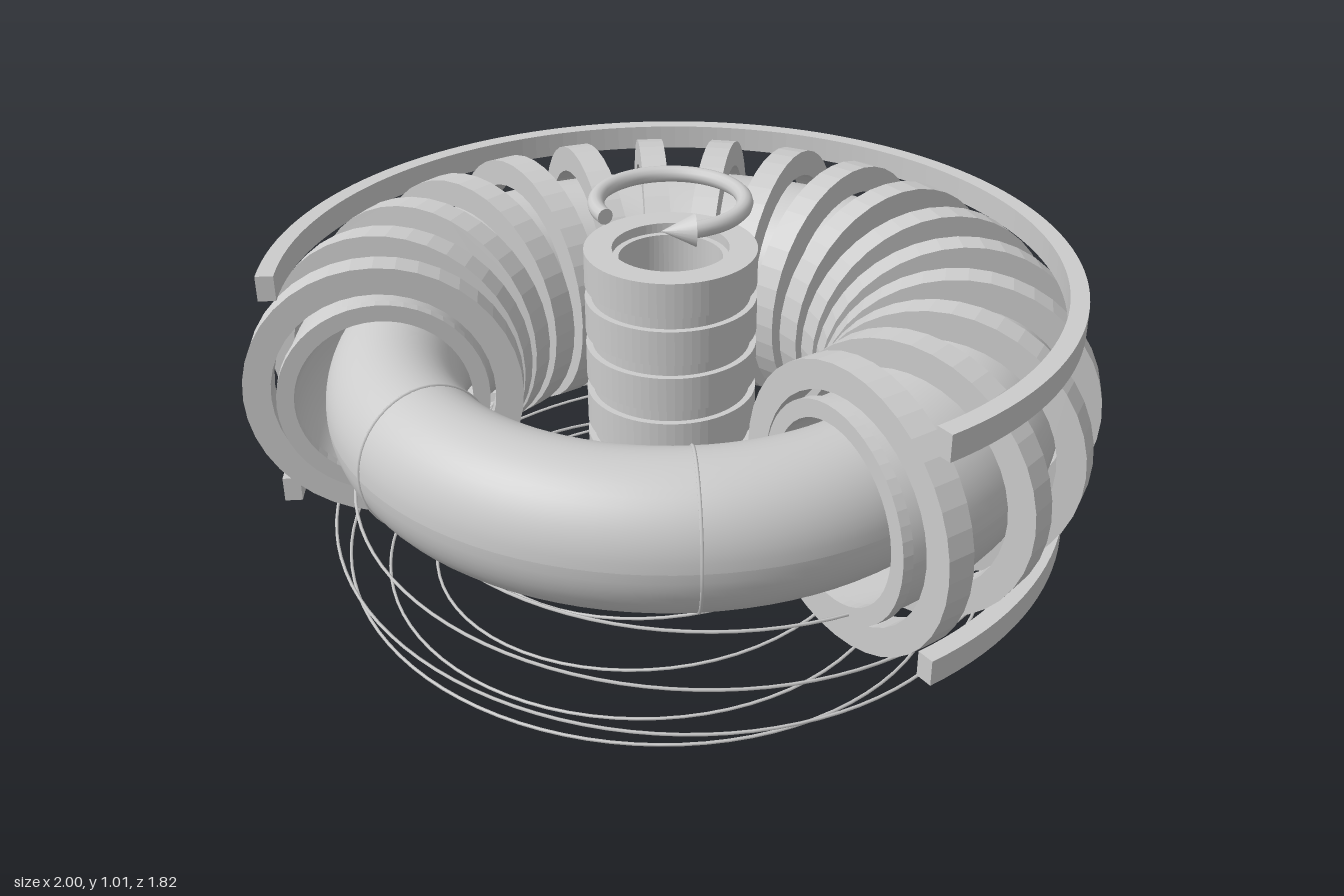
import * as THREE from 'three';

const GREY = new THREE.MeshStandardMaterial({ color: 0xcccccc });
const SHELL = new THREE.MeshStandardMaterial({ color: 0xcccccc, side: THREE.DoubleSide });
const DEG = Math.PI / 180;
const MID_Y = 0.522;      // height of the torus midplane
const VESSEL_R = 0.675;   // major radius of vessel and coils
const PLASMA_R = 0.648;   // major radius of plasma and field lines

// Flat ring or ring sector of rectangular section, extruded along z and centred
function ring(outer, inner, depth, segments, start = 0, end = Math.PI * 2) {
  const shape = new THREE.Shape();
  shape.absarc(0, 0, outer, start, end, false);
  if (end - start > 6.28) {
    const hole = new THREE.Path();
    hole.absarc(0, 0, inner, 0, Math.PI * 2, true);
    shape.holes.push(hole);
  } else {
    shape.absarc(0, 0, inner, end, start, true);
  }
  const geometry = new THREE.ExtrudeGeometry(shape, { depth, bevelEnabled: false, curveSegments: segments });
  return geometry.translate(0, 0, -depth / 2);
}

// Torus sector around the y axis with an elliptical section
function toroid(major, rx, ry, start, length) {
  const profile = [];
  for (let i = 0; i <= 48; i++) {
    const a = (i / 48) * Math.PI * 2;
    profile.push(new THREE.Vector2(major + rx * Math.cos(a), ry * Math.sin(a)));
  }
  return new THREE.LatheGeometry(profile, 96, start * DEG, length * DEG);
}

// Closed helical line lying on a torus
class FieldLine extends THREE.Curve {
  constructor(phase, turns) {
    super();
    this.phase = phase;
    this.turns = turns;
  }
  getPoint(t, target = new THREE.Vector3()) {
    const phi = t * this.turns * Math.PI * 2;
    const theta = t * Math.PI * 2 + this.phase;
    const r = PLASMA_R + 0.17 * Math.cos(theta);
    return target.set(r * Math.cos(phi), 0.172 * Math.sin(theta), r * Math.sin(phi));
  }
}

export function createModel() {
  const model = new THREE.Group();
  model.name = 'fusionReactor';
  const body = new THREE.Group();
  body.name = 'reactorBody';
  body.position.z = 0.088;
  model.add(body);

  function add(name, geometry, y = 0, material = GREY) {
    const mesh = new THREE.Mesh(geometry, material);
    mesh.name = name;
    mesh.position.y = y;
    body.add(mesh);
    return mesh;
  }
  // Place a ring upright at a toroidal angle (0 = +x, 90 = +z)
  function addUpright(name, geometry, major, degrees) {
    const mesh = add(name, geometry, MID_Y);
    mesh.position.x = major * Math.cos(degrees * DEG);
    mesh.position.z = major * Math.sin(degrees * DEG);
    mesh.rotation.y = -degrees * DEG;
    return mesh;
  }

  // Plasma: a full torus with two thin seams at the front
  add('plasma', toroid(PLASMA_R, 0.16, 0.174, 0, 360), MID_Y, SHELL);
  for (const angle of [60, 120]) {
    const seam = new THREE.TorusGeometry(0.16, 0.004, 6, 48).scale(1, 0.174 / 0.16, 1);
    addUpright('plasmaSeam', seam, PLASMA_R, angle);
  }

  // Vacuum vessel: hollow torus open at the front, closed by rim flanges
  add('vesselOuterWall', toroid(VESSEL_R, 0.235, 0.235, 56, 248), MID_Y, SHELL);
  add('vesselInnerWall', toroid(VESSEL_R, 0.21, 0.21, 56, 248), MID_Y, SHELL);
  for (const angle of [34, 146]) {
    addUpright('vesselRim', ring(0.245, 0.205, 0.025, 24), VESSEL_R, angle);
  }

  // Toroidal field coils every 15 degrees around the back
  const coil = ring(0.325, 0.26, 0.065, 20);
  for (let i = 0; i < 17; i++) {
    addUpright('toroidalCoil', coil, VESSEL_R, 150 + i * 15);
  }

  // Poloidal ring coils above and below, open at the front
  const hoop = ring(0.942, 0.9, 0.062, 48, -30 * DEG, 210 * DEG).rotateX(-Math.PI / 2);
  add('upperRingCoil', hoop, 0.79);
  add('lowerRingCoil', hoop, 0.252);

  // Central solenoid: stacked modules on a slightly recessed core
  const modulePart = ring(0.2, 0.135, 0.085, 32).rotateX(-Math.PI / 2);
  for (let i = 0; i < 6; i++) {
    add('solenoidModule', modulePart, 0.228 + i * 0.118);
  }
  add('solenoidCore', ring(0.185, 0.12, 0.63, 32).rotateX(-Math.PI / 2), MID_Y);

  // Current direction arrow: open ring ending in a cone
  const arc = new THREE.TorusGeometry(0.168, 0.019, 12, 64, 292 * DEG);
  arc.rotateX(Math.PI / 2).rotateY(-123 * DEG);
  add('arrowRing', arc, 0.972);
  for (const angle of [123, 55]) {
    const cap = add('arrowRingEnd', new THREE.CircleGeometry(0.019, 12), 0.972, SHELL);
    cap.position.x = 0.168 * Math.cos(angle * DEG);
    cap.position.z = 0.168 * Math.sin(angle * DEG);
    cap.rotation.y = -angle * DEG;
  }
  const tip = 59 * DEG;
  const head = add('arrowHead', new THREE.ConeGeometry(0.037, 0.075, 20), 0.972);
  head.position.x = 0.168 * Math.cos(48 * DEG);
  head.position.z = 0.168 * Math.sin(48 * DEG);
  head.position.x -= 0.03 * Math.sin(tip);
  head.position.z += 0.03 * Math.cos(tip);
  head.quaternion.setFromUnitVectors(
    new THREE.Vector3(0, 1, 0),
    new THREE.Vector3(-Math.sin(tip), 0, Math.cos(tip))
  );

  // Magnetic field lines: helical wires hanging below the machine
  for (let i = 0; i < 3; i++) {
    const line = new FieldLine((i * Math.PI * 2) / 9, 3);
    add('fieldLine', new THREE.TubeGeometry(line, 240, 0.004, 5, true), 0.177);
  }
  return model;
}
